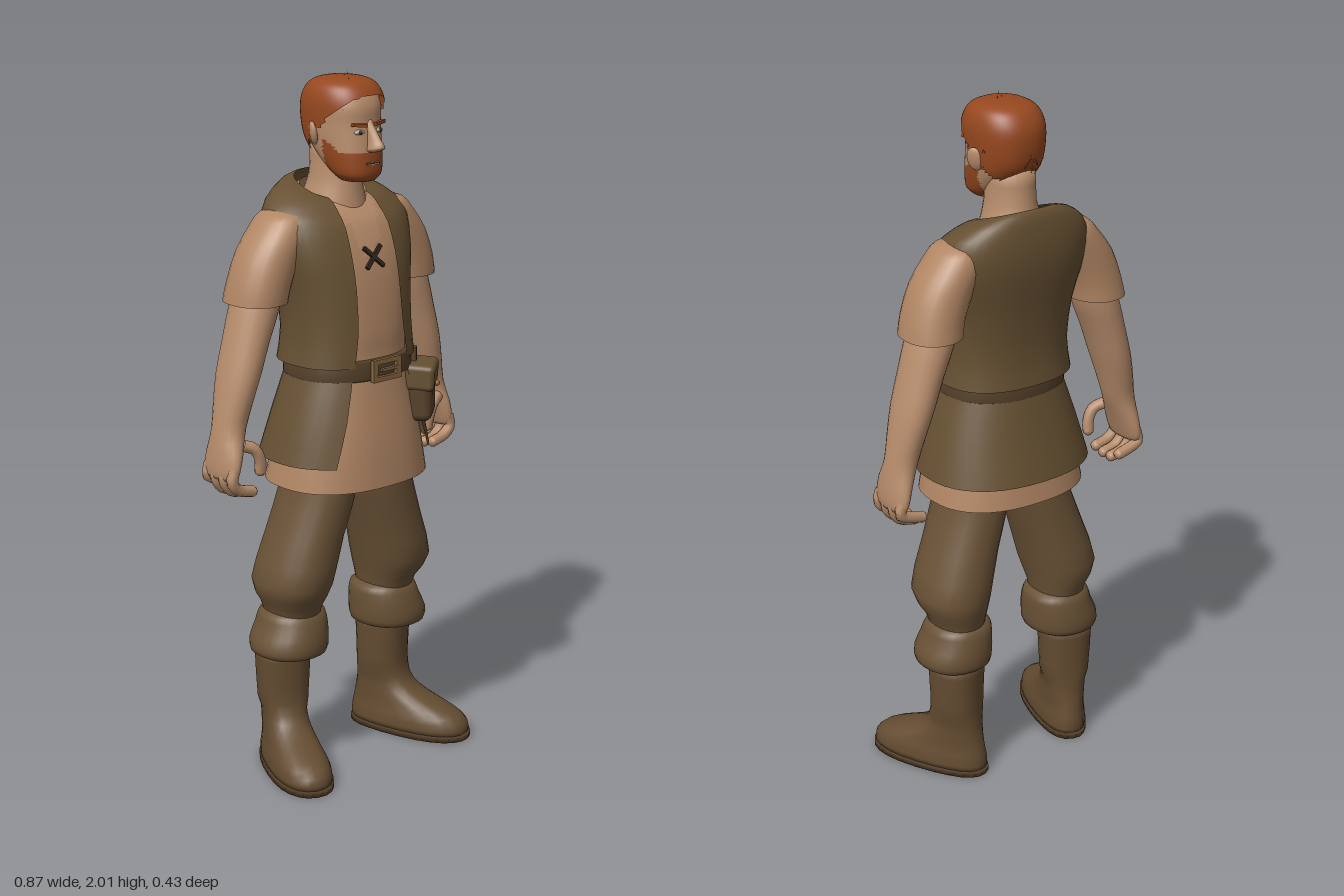
import * as THREE from 'three';
import { mergeGeometries } from 'three/addons/utils/BufferGeometryUtils.js';
import { RoundedBoxGeometry } from 'three/addons/geometries/RoundedBoxGeometry.js';

const mat = (name, color, side = THREE.FrontSide) => {
  const m = new THREE.MeshStandardMaterial({ color, side });
  m.name = name;
  return m;
};

// Lofts a surface through horizontal rings listed from bottom to top.
// ring: [y, centreX, radiusX, frontZ, backZ, tilt, frontGapX]
// pick(x, y, z) gives the material index of a face, or -1 to leave it out.
function loft(rings, { n = 2, segs = 24, sub = 1, cap = true, pick = null, mats = 1 } = {}) {
  const full = rings.map(r => [...r, 0, 0].slice(0, 7)), rows = [];
  const at = i => full[Math.min(Math.max(i, 0), full.length - 1)];
  for (let i = 0; i < full.length - 1; i++)
    for (let k = 0; k < sub; k++) {
      const t = k / sub;
      rows.push(full[i].map((b, c) => {
        const a = at(i - 1)[c], d = at(i + 1)[c], e = at(i + 2)[c];
        return b + 0.5 * t * (d - a + t * (2 * a - 5 * b + 4 * d - e + t * (3 * (b - d) + e - a)));
      }));
    }
  rows.push(at(full.length));
  const open = full[0][6] > 0, cols = open ? segs + 1 : segs, pos = [];
  const bend = v => Math.sign(v) * Math.abs(v) ** (2 / n);
  for (const [y, cx, rx, zf, zb, tilt, gap] of rows) {
    const cz = (zf + zb) / 2, rz = (zf - zb) / 2;
    const g = open ? Math.asin(Math.min(1, (gap / rx) ** (n / 2))) : 0;
    for (let j = 0; j < cols; j++) {
      const a = g + (j / segs) * (2 * Math.PI - 2 * g), dz = rz * bend(Math.cos(a));
      pos.push(cx + rx * bend(Math.sin(a)), y + tilt * dz, cz + dz);
    }
  }
  const lists = Array.from({ length: mats }, () => []);
  const add = (...f) => {
    const mid = k => (pos[f[0] * 3 + k] + pos[f[1] * 3 + k] + pos[f[2] * 3 + k]) / 3;
    const m = pick ? pick(mid(0), mid(1), mid(2)) : 0;
    if (m >= 0) lists[m].push(...f);
  };
  for (let i = 0; i < rows.length - 1; i++)
    for (let j = 0; j < segs; j++) {
      const a = i * cols + j, b = i * cols + (j + 1) % cols;
      add(a, b, b + cols);
      add(a, b + cols, a + cols);
    }
  if (cap && !open) {
    const last = rows.length - 1, c = pos.length / 3;
    for (const i of [0, last]) pos.push(rows[i][1], rows[i][0], (rows[i][3] + rows[i][4]) / 2);
    for (let j = 0; j < segs; j++) {
      const k = (j + 1) % segs;
      add(c, k, j);
      add(c + 1, last * cols + j, last * cols + k);
    }
  }
  const geo = new THREE.BufferGeometry();
  geo.setAttribute('position', new THREE.Float32BufferAttribute(pos, 3));
  geo.setIndex(lists.flat());
  if (mats > 1) {
    let start = 0;
    lists.forEach((l, m) => { geo.addGroup(start, l.length, m); start += l.length; });
  }
  geo.computeVertexNormals();
  return geo;
}

export function createModel() {
  const model = new THREE.Group();
  const D = THREE.DoubleSide;
  const skin = mat('skin', 0xb88d6c), shirt = mat('shirt linen', 0xb18664, D);
  const vest = mat('vest cloth', 0x665032, D), cloth = mat('trouser cloth', 0x6a5236);
  const leather = mat('boot leather', 0x644c31), strap = mat('belt leather', 0x55402a);
  const hair = mat('hair', 0x96481f, D), metal = mat('buckle', 0x86663f);
  const white = mat('eye white', 0xb9b09c), dark = mat('dark', 0x33261b);

  const put = (name, geo, m, x = 0, y = 0, z = 0, rx = 0, ry = 0, rz = 0, parent = model) => {
    const mesh = new THREE.Mesh(geo, m);
    mesh.name = name;
    mesh.position.set(x, y, z);
    mesh.rotation.set(rx, ry, rz);
    parent.add(mesh);
    return mesh;
  };
  const box = (w, h, d) => new THREE.BoxGeometry(w, h, d);

  // Tunic with an open neck, and the vest over it
  put('tunic', loft([
    [0.86, 0, 0.24, 0.19, -0.19], [1.0, 0, 0.212, 0.177, -0.165], [1.2, 0, 0.165, 0.148, -0.13],
    [1.3, 0, 0.174, 0.145, -0.142], [1.42, 0, 0.188, 0.132, -0.15], [1.51, 0, 0.208, 0.112, -0.166],
    [1.59, 0, 0.215, 0.08, -0.172], [1.645, 0, 0.18, 0.05, -0.165, -0.15], [1.675, 0, 0.09, 0.03, -0.14, -0.3],
  ], { n: 2.4, segs: 40, sub: 4, cap: false, mats: 2,
    pick: (x, y, z) => (z > 0 && Math.abs(x) < (y - 1.47) * 0.42 ? 1 : 0) }), [shirt, skin]);
  put('vest', loft([
    [1.21, 0, 0.2, 0.162, -0.165, 0, 0.1], [1.3, 0, 0.19, 0.156, -0.155, 0, 0.085],
    [1.42, 0, 0.2, 0.142, -0.165, 0, 0.08], [1.51, 0, 0.222, 0.122, -0.18, 0, 0.08],
    [1.59, 0, 0.232, 0.092, -0.188, 0, 0.078], [1.645, 0, 0.21, 0.062, -0.182, -0.15, 0.075],
    [1.682, 0, 0.15, 0.037, -0.17, -0.28, 0.073], [1.69, 0, 0.1, 0.022, -0.155, -0.35, 0.07],
  ], { n: 2.4, segs: 36, sub: 2 }), vest);
  put('vestTail', loft([
    [0.935, 0, 0.255, 0.2, -0.213, 0, 0.175], [1.06, 0, 0.222, 0.183, -0.178, 0, 0.135],
    [1.19, 0, 0.178, 0.16, -0.146, 0, 0.1],
  ], { n: 2.3, segs: 30, sub: 2 }), vest);
  for (const s of [-1, 1])
    put('neckLace', box(0.085, 0.011, 0.009), dark, -0.004, 1.508, 0.12, -0.25, 0, s * 0.75);

  // Belt, buckle and pouch
  put('belt', loft([
    [1.168, 0, 0.182, 0.158, -0.148], [1.172, 0, 0.187, 0.164, -0.152],
    [1.222, 0, 0.183, 0.164, -0.15], [1.226, 0, 0.176, 0.158, -0.145],
  ], { n: 2.3, segs: 36 }), strap);
  const frame = new THREE.Shape();
  frame.moveTo(-0.052, -0.032).lineTo(0.052, -0.032).lineTo(0.052, 0.032).lineTo(-0.052, 0.032);
  const hole = new THREE.Path();
  hole.moveTo(-0.036, -0.018).lineTo(-0.036, 0.018).lineTo(0.036, 0.018).lineTo(0.036, -0.018);
  frame.holes.push(hole);
  put('buckleFrame', new THREE.ExtrudeGeometry(frame, { depth: 0.012, bevelEnabled: false }), metal, 0, 1.197, 0.162);
  put('bucklePin', box(0.06, 0.008, 0.01), metal, 0.01, 1.197, 0.17);
  const pouch = new THREE.Group();
  pouch.name = 'pouch';
  pouch.position.set(0.178, 1.1, 0.122);
  pouch.rotation.y = 0.7;
  model.add(pouch);
  put('pouchBag', new RoundedBoxGeometry(0.125, 0.155, 0.075, 3, 0.022), strap, 0, -0.01, 0, 0, 0, 0, pouch);
  put('pouchFlap', new RoundedBoxGeometry(0.133, 0.075, 0.086, 3, 0.015), vest, 0, 0.042, 0.002, 0.06, 0, 0, pouch);
  put('pouchButton', new THREE.SphereGeometry(0.009, 10, 8), metal, 0, 0.015, 0.046, 0, 0, 0, pouch);
  put('pouchLoop', box(0.025, 0.09, 0.015), strap, 0, 0.075, -0.02, 0, 0, 0, pouch);

  for (const s of [1, -1]) {
    const side = s > 0 ? 'left' : 'right';
    const limb = rings => rings.map(([y, x, ...r]) => [y, x * s, ...r]);
    // Sleeve, arm and curled hand
    put(side + 'Sleeve', loft(limb([
      [1.395, 0.28, 0.082, 0.034, -0.158], [1.45, 0.268, 0.083, 0.036, -0.152], [1.53, 0.235, 0.086, 0.036, -0.148],
      [1.595, 0.195, 0.078, 0.03, -0.142], [1.63, 0.185, 0.055, 0.012, -0.125], [1.642, 0.18, 0.015, -0.04, -0.08],
    ]), { n: 2.2, sub: 2, cap: false }), shirt);
    put(side + 'Arm', loft(limb([
      [0.915, 0.412, 0.02, 0.004, -0.12], [0.94, 0.409, 0.027, 0.014, -0.13], [0.99, 0.398, 0.035, 0.01, -0.125],
      [1.05, 0.381, 0.044, -0.008, -0.115], [1.12, 0.364, 0.049, 0, -0.125], [1.2, 0.342, 0.055, 0.01, -0.136],
      [1.29, 0.314, 0.059, 0.012, -0.138], [1.38, 0.283, 0.066, 0.014, -0.14], [1.48, 0.255, 0.06, 0.01, -0.13],
    ]), { sub: 2 }), skin);
    const finger = (name, pts, r) => {
      const path = new THREE.CatmullRomCurve3(pts.map(([x, y, z]) => new THREE.Vector3(x * s, y, z)));
      const tip = new THREE.SphereGeometry(r, 8, 6).translate(...path.getPoint(1).toArray());
      put(name, mergeGeometries([new THREE.TubeGeometry(path, 8, r, 8), tip]), skin);
    };
    for (let i = 0; i < 4; i++) {
      const z = -0.002 - i * 0.036, drop = i === 3 ? 0.02 : i === 0 ? 0.008 : 0;
      finger(side + 'Finger', [[0.41, 0.95, z], [0.419, 0.91, z], [0.395, 0.878 + drop, z], [0.35, 0.866 + drop, z]], 0.0165);
    }
    finger(side + 'Thumb', [[0.375, 1.01, -0.01], [0.342, 0.995, 0.004], [0.325, 0.96, 0.006], [0.322, 0.93, 0.002]], 0.017);

    // Trouser leg with its gathered cuff
    put(side + 'TrouserLeg', loft(limb([
      [0.45, 0.18, 0.07, 0.05, -0.115], [0.5, 0.183, 0.08, 0.068, -0.128], [0.57, 0.19, 0.104, 0.108, -0.145],
      [0.7, 0.152, 0.1, 0.112, -0.132], [0.86, 0.1, 0.097, 0.12, -0.12], [0.99, 0.09, 0.088, 0.11, -0.11],
    ]), { n: 2.2, sub: 2 }), cloth);
    put(side + 'TrouserCuff', loft(limb([
      [0.345, 0.195, 0.08, 0.04, -0.12], [0.355, 0.195, 0.104, 0.078, -0.142], [0.39, 0.193, 0.108, 0.083, -0.146],
      [0.435, 0.182, 0.098, 0.074, -0.14], [0.47, 0.178, 0.091, 0.06, -0.13], [0.482, 0.178, 0.07, 0.04, -0.11],
    ]), { n: 2.2, sub: 2 }), cloth);

    // Boot turned outward, widened towards the toes
    const boot = new THREE.Group();
    boot.name = side + 'Boot';
    boot.position.set(0.198 * s, 0, -0.055);
    boot.rotation.y = 0.36 * s;
    model.add(boot);
    const widen = geo => {
      const p = geo.attributes.position;
      for (let i = 0; i < p.count; i++)
        if (p.getY(i) < 0.17) p.setX(i, p.getX(i) * (0.88 + 0.7 * Math.max(0, Math.min(p.getZ(i), 0.25))));
      geo.computeVertexNormals();
      return geo;
    };
    put('bootUpper', widen(loft([
      [0.015, 0, 0.084, 0.283, -0.096], [0.05, 0, 0.083, 0.278, -0.096], [0.08, 0, 0.076, 0.235, -0.09],
      [0.11, 0, 0.072, 0.16, -0.084], [0.145, 0, 0.07, 0.1, -0.078], [0.2, 0, 0.072, 0.076, -0.075],
      [0.28, 0, 0.077, 0.076, -0.076], [0.37, 0, 0.08, 0.08, -0.08],
    ], { n: 2.3, sub: 2 })), leather, 0, 0, 0, 0, 0, 0, boot);
    put('bootSole', widen(loft([[0, 0, 0.088, 0.288, -0.1], [0.018, 0, 0.088, 0.288, -0.1]], { n: 2.3 })),
      strap, 0, 0, 0, 0, 0, 0, boot);

    // Ear, eye and brow
    put(side + 'Ear', new THREE.SphereGeometry(1, 12, 10), skin, 0.1 * s, 1.845, -0.022, 0.15, 0.5 * s, -0.25 * s)
      .scale.set(0.011, 0.034, 0.024);
    put(side + 'Eye', new THREE.SphereGeometry(1, 12, 8), white, 0.036 * s, 1.853, 0.094, 0, 0.2 * s)
      .scale.set(0.016, 0.007, 0.008);
    put(side + 'Iris', new THREE.SphereGeometry(1, 10, 8), dark, 0.036 * s, 1.853, 0.1)
      .scale.set(0.006, 0.006, 0.004);
    put(side + 'Brow', box(0.044, 0.009, 0.012), hair, 0.037 * s, 1.873, 0.096, 0, 0.25 * s, 0.08 * s);
  }

  // Neck and head with a short beard
  put('neck', loft([
    [1.6, 0, 0.1, 0.05, -0.15], [1.66, 0, 0.085, 0.042, -0.145], [1.72, 0, 0.068, 0.035, -0.125], [1.82, 0, 0.066, 0.03, -0.12],
  ], { sub: 2 }), skin);
  const skull = grow => [
    [1.715, 0, 0.045, 0.097, 0.005], [1.735, 0, 0.066, 0.109, -0.02], [1.775, 0, 0.078, 0.11, -0.07],
    [1.82, 0, 0.085, 0.106, -0.11], [1.87, 0, 0.089, 0.1, -0.125], [1.92, 0, 0.09, 0.098, -0.125],
    [1.96, 0, 0.078, 0.078, -0.105], [1.98, 0, 0.053, 0.046, -0.075], [1.988, 0, 0.012, 0, -0.03],
  ].map(([y, x, rx, f, b]) => [y + (y > 1.9 ? grow * 0.7 : 0), x, rx + grow, f + grow, b - grow]);
  put('head', loft(skull(0), { n: 2.3, segs: 48, sub: 6, mats: 2,
    pick: (x, y, z) => (z > -0.005 && y < 1.797 + Math.max(0, 0.06 - z) * 0.6 ? 1 : 0) }), [skin, hair]);
  put('nose', loft([
    [1.798, 0, 0.013, 0.124, 0.09], [1.805, 0, 0.021, 0.142, 0.09], [1.815, 0, 0.019, 0.154, 0.09],
    [1.835, 0, 0.014, 0.138, 0.085], [1.87, 0, 0.012, 0.11, 0.08], [1.885, 0, 0.01, 0.1, 0.08],
  ], { segs: 14, sub: 2 }), skin);
  put('mouth', box(0.044, 0.009, 0.008), skin, 0, 1.766, 0.109);
  put('mouthLine', box(0.046, 0.003, 0.008), dark, 0, 1.767, 0.1105);

  // Hair cap with tousled locks
  put('hairCap', loft(skull(0.011), { n: 2.3, segs: 48, sub: 6,
    pick: (x, y, z) => (y > 1.862 + 0.88 * z ? 0 : -1) }), hair);
  let seed = 7;
  const rand = () => (seed = (seed * 16807) % 2147483647) / 2147483647;
  const locks = [], up = new THREE.Vector3(0, 1, 0);
  while (locks.length < 130) {
    const v = new THREE.Vector3(rand() * 2 - 1, rand() * 2 - 1, rand() * 2 - 1).normalize();
    const p = new THREE.Vector3(v.x * 0.099, 1.873 + v.y * 0.117, -0.014 + v.z * 0.119);
    if (p.y < 1.87 + 0.88 * p.z) continue;
    const dir = new THREE.Vector3(rand() - 0.5, -0.7, rand() - 0.6);
    dir.addScaledVector(v, 0.12 - dir.dot(v)).normalize();
    locks.push(new THREE.ConeGeometry(0.005, 0.035 + 0.025 * rand(), 4)
      .applyQuaternion(new THREE.Quaternion().setFromUnitVectors(up, dir)).translate(p.x, p.y, p.z));
  }
  put('hairLocks', mergeGeometries(locks), hair);
  return model;
}
